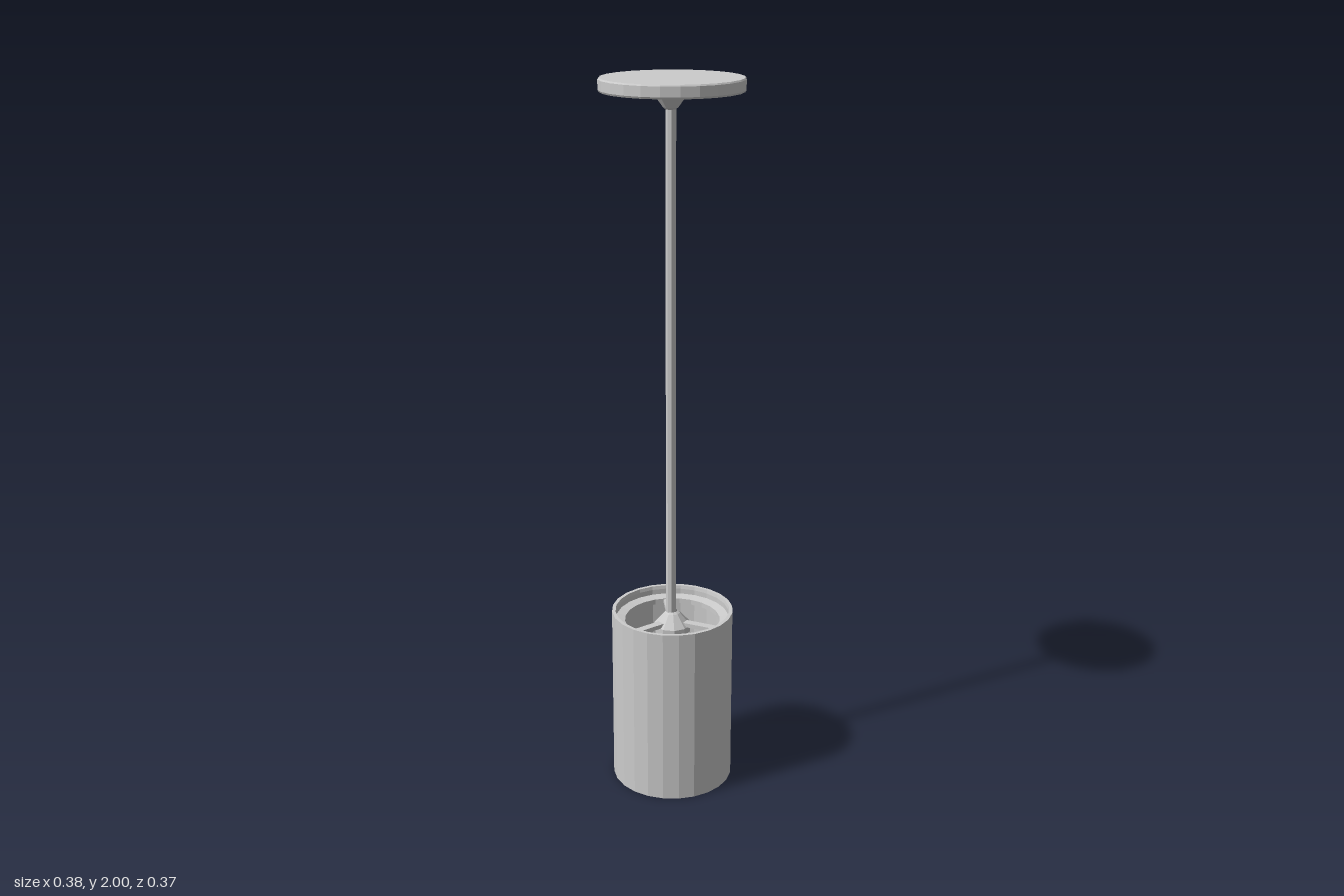
import * as THREE from 'three';

const SIDES = 24;

export function createModel() {
  const lamp = new THREE.Group();
  lamp.name = 'pendantLamp';
  const material = new THREE.MeshStandardMaterial({
    color: 0xcccccc, flatShading: true, side: THREE.DoubleSide,
  });

  const add = (name, geometry, parent = lamp) => {
    const mesh = new THREE.Mesh(geometry, material);
    mesh.name = name;
    parent.add(mesh);
    return mesh;
  };
  // Turned part from [radius, height] pairs
  const turned = (profile, sides = SIDES) =>
    new THREE.LatheGeometry(profile.map(([r, y]) => new THREE.Vector2(r, y)), sides);

  // Ceiling plate, slightly wider than deep
  const canopy = add('canopy', turned([
    [0, 1.965], [0.187, 1.965], [0.19, 1.97], [0.19, 1.996], [0.187, 2], [0, 2],
  ]));
  canopy.scale.z = 0.965;

  // Stem with a flared collar beneath the ceiling plate
  const suspension = new THREE.Group();
  suspension.name = 'suspension';
  suspension.position.set(-0.004, 0, 0.004);
  lamp.add(suspension);
  add('stem', turned([[0.014, 0.45], [0.014, 1.966]], 8), suspension);
  add('collar', turned([[0.014, 1.92], [0.02, 1.925], [0.05, 1.966]], 8), suspension);

  // Hollow shade with a thin wall and a recessed inner lip at the top
  const shade = new THREE.Group();
  shade.name = 'shade';
  shade.position.z = 0.004;
  lamp.add(shade);
  add('shadeWall', turned([
    [0.16, 0.005], [0.172, 0.005], [0.172, 0.52], [0.162, 0.52], [0.16, 0.51], [0.16, 0.005],
  ]), shade);
  add('innerLip', turned([[0.16, 0.495], [0.135, 0.49], [0.135, 0.475], [0.16, 0.475]]), shade);

  // Three arms carry the shade from the hub
  for (let i = 0; i < 3; i++) {
    const pivot = new THREE.Group();
    pivot.name = 'shadeArm';
    pivot.rotation.y = Math.PI / 2 + (i * Math.PI * 2) / 3;
    shade.add(pivot);
    add('armBar', new THREE.BoxGeometry(0.125, 0.012, 0.022), pivot).position.set(0.098, 0.482, 0);
  }

  // Hub, socket and bulb hang inside the shade
  add('hub', turned([[0.014, 0.515], [0.022, 0.51], [0.052, 0.475], [0.052, 0.455], [0, 0.455]], 10), shade);
  add('socket', turned([[0.032, 0.455], [0.032, 0.33], [0.026, 0.32], [0, 0.32]], 12), shade);
  add('bulb', turned([
    [0, 0.085], [0.018, 0.09], [0.036, 0.115], [0.045, 0.155], [0.042, 0.2], [0.028, 0.26], [0.024, 0.32],
  ], 12), shade);

  return lamp;
}
